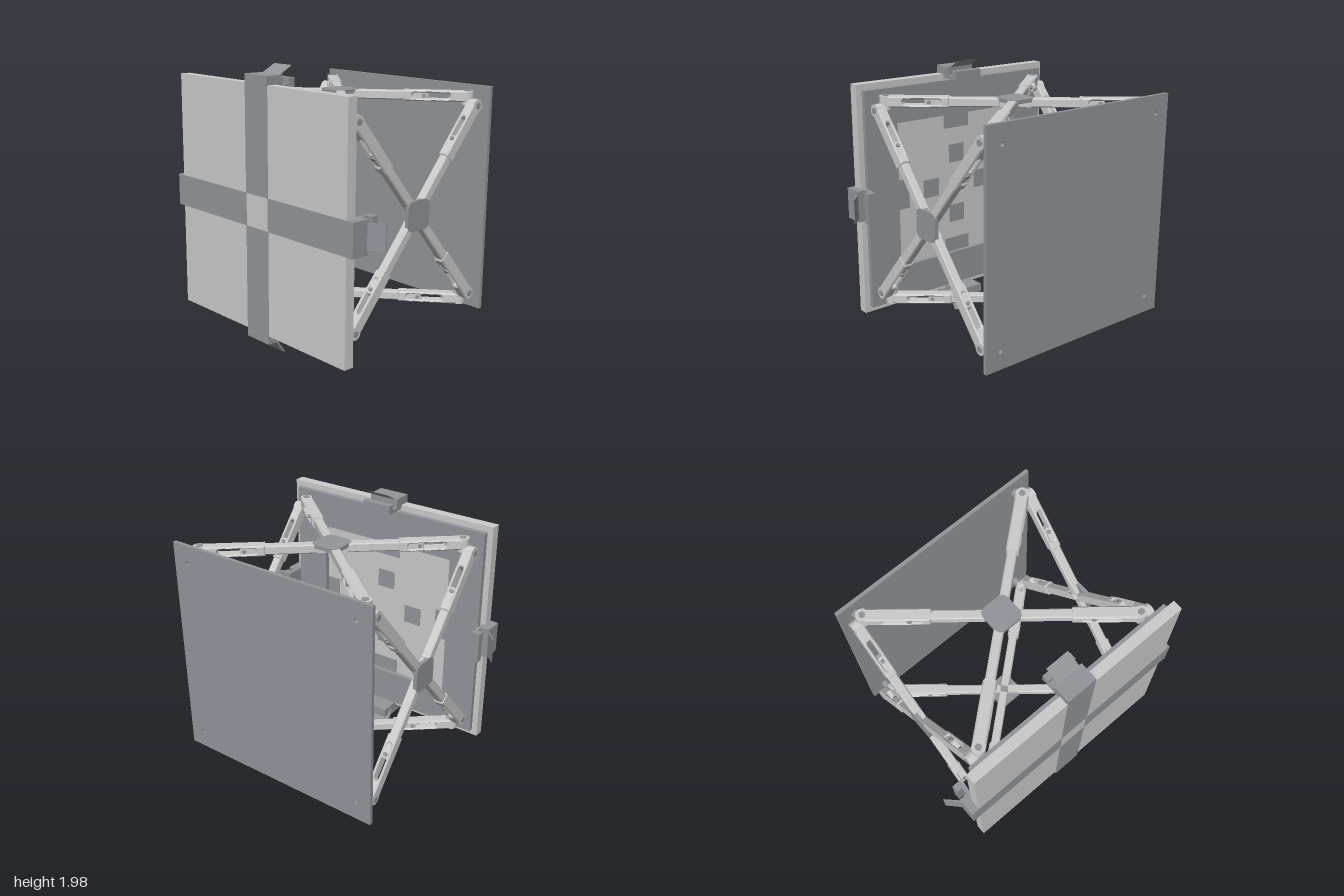
import * as THREE from 'three';

const light = new THREE.MeshStandardMaterial({ color: 0xcccccc, flatShading: true });
const smooth = new THREE.MeshStandardMaterial({ color: 0xcccccc });
const dark = new THREE.MeshStandardMaterial({ color: 0x92969a, flatShading: true });

function add(parent, name, geometry, material, x = 0, y = 0, z = 0) {
  const mesh = new THREE.Mesh(geometry, material);
  mesh.name = name;
  mesh.position.set(x, y, z);
  parent.add(mesh);
  return mesh;
}
// Box given by its lower and upper corners
function block(parent, name, material, a, b) {
  return add(parent, name, new THREE.BoxGeometry(b[0] - a[0], b[1] - a[1], b[2] - a[2]), material,
    (a[0] + b[0]) / 2, (a[1] + b[1]) / 2, (a[2] + b[2]) / 2);
}
function group(parent, name) {
  const g = new THREE.Group();
  g.name = name;
  parent.add(g);
  return g;
}
function polygon(points) {
  return new THREE.Shape(points.map(p => new THREE.Vector2(p[0], p[1])));
}
function rect(x0, y0, x1, y1) {
  return polygon([[x0, y0], [x1, y0], [x1, y1], [x0, y1]]);
}
// Extrude centred on its own depth axis
function extrude(shape, depth, bevel = 0) {
  return new THREE.ExtrudeGeometry(shape, {
    depth: depth - 2 * bevel, bevelEnabled: bevel > 0, bevelSize: bevel, bevelOffset: -bevel,
    bevelThickness: bevel, bevelSegments: 1, curveSegments: 8,
  }).translate(0, 0, -depth / 2 + bevel);
}
function slotPath(x0, x1, r) {
  const path = new THREE.Path();
  path.absarc(x0 + r, 0, r, Math.PI / 2, Math.PI * 1.5, false);
  path.absarc(x1 - r, 0, r, -Math.PI / 2, Math.PI / 2, false);
  path.closePath();
  return path;
}

// Telescopic arm along +x: slotted sleeve at the corner, slimmer rod at the hub
function makeArm(parent, L) {
  const arm = group(parent, 'telescopicArm');
  const sleeve = rect(L - 0.44, -0.038, L, 0.038);
  sleeve.holes.push(slotPath(L - 0.38, L - 0.12, 0.02));
  add(arm, 'slottedSleeve', extrude(sleeve, 0.088, 0.01), light);
  add(arm, 'roundEnd', new THREE.CylinderGeometry(0.044, 0.044, 0.076, 20), smooth, L, 0, 0);
  add(arm, 'innerRod', extrude(rect(0.1, -0.032, L - 0.27, 0.032), 0.066, 0.008), light);
  block(arm, 'hubTab', light, [0.03, -0.03, -0.028], [0.12, 0.006, 0.028]);
  add(arm, 'slidePin', new THREE.CylinderGeometry(0.014, 0.014, 0.09, 12).rotateX(Math.PI / 2), dark, L - 0.3, 0, 0);
  // Pivot screw
  add(arm, 'screwHead', new THREE.CylinderGeometry(0.024, 0.024, 0.012, 6), dark, L, 0.038, 0);
  return arm;
}

// One X-shaped linkage lying in the xz plane with its outside facing +y
function makeLinkage(parent) {
  const link = group(parent, 'crossLinkage');
  const W = 0.68, D = 0.577;
  for (const sx of [-1, 1]) for (const sz of [-1, 1])
    makeArm(link, Math.hypot(W, D)).rotation.y = -Math.atan2(sz * D, sx * W);
  const h = 0.105, c = 0.04;
  const plate = polygon([[-h + c, -h], [h - c, -h], [h - c * 0.3, -h + c * 0.3], [h, -h + c], [h, h - c],
    [h - c * 0.3, h - c * 0.3], [h - c, h], [-h + c, h], [-h + c * 0.3, h - c * 0.3], [-h, h - c],
    [-h, -h + c], [-h + c * 0.3, -h + c * 0.3]]);
  add(link, 'hubPlate', extrude(plate, 0.028).rotateX(-Math.PI / 2), dark, 0, 0.021, 0);
  return link;
}

// Edge clip built at the top edge; blade = [z0, r0, z1, r1]
function makeClip(parent, blade) {
  const clip = group(parent, 'edgeClip');
  const hook = polygon([[0.714, 0.85], [0.714, 0.912], [0.58, 0.912], [0.58, 0.85], [0.53, 0.85], [0.53, 0.89],
    [0.48, 0.89], [0.48, 0.825], [0.635, 0.825], [0.635, 0.85]]);
  add(clip, 'hook', extrude(hook, 0.228).rotateY(-Math.PI / 2), dark);
  const [z0, r0, z1, r1] = blade;
  const n = Math.hypot(z1 - z0, r1 - r0), tz = (r1 - r0) / n * 0.018, tr = (z0 - z1) / n * 0.018;
  const wing = polygon([[z0, r0], [z1, r1], [z1 + tz, r1 - tr * 0.2], [z0 + tz, r0 + tr * 0.2]]);
  add(clip, 'leverBlade', extrude(wing, 0.176).rotateY(-Math.PI / 2), dark);
  return clip;
}

export function createModel() {
  const model = new THREE.Group();
  model.name = 'foldingPanelFrame';
  const body = group(model, 'body');
  body.position.y = 1.014;
  body.rotation.set(-0.015, 0.012, 0);

  // Front panel with dark cross strips and a rear frame
  const front = group(body, 'frontPanel');
  block(front, 'frontPlate', light, [-0.853, -0.853, 0.638], [0.853, 0.853, 0.71]);
  const ring = rect(-0.81, -0.81, 0.81, 0.81);
  ring.holes.push(rect(-0.55, -0.55, 0.55, 0.55));
  add(front, 'rearFrame', extrude(ring, 0.036), dark, 0, 0, 0.621);

  // Strip, clip and rear pads on each of the four sides: top, right, bottom, left
  const blades = [[0.585, 0.905, 0.48, 0.968], [0.59, 0.9, 0.5, 0.99], [0.62, 0.905, 0.545, 1.018], [0.59, 0.9, 0.5, 0.99]];
  blades.forEach((blade, k) => {
    const side = group(front, 'panelSide');
    side.rotation.z = -k * Math.PI / 2;
    block(side, 'crossStrip', dark, [-0.114, 0.114, 0.7], [0.114, 0.88, 0.714]);
    block(side, 'rearPad', dark, [-0.07, 0.17, 0.634], [0.07, 0.31, 0.645]);
    block(side, 'rearEdgePad', dark, [-0.114, 0.44, 0.634], [0.114, 0.56, 0.645]);
    makeClip(side, blade);
  });

  // Back panel with a mounting hole in every corner
  const back = rect(-0.81, -0.81, 0.81, 0.81);
  for (const sx of [-1, 1]) for (const sy of [-1, 1]) {
    const hole = new THREE.Path();
    hole.absarc(sx * 0.69, sy * 0.68, 0.016, 0, Math.PI * 2, true);
    back.holes.push(hole);
  }
  add(body, 'backPanel', extrude(back, 0.027), dark, 0, 0, -0.709);

  // Four linkages joining the panels
  for (let k = 0; k < 4; k++) {
    const turn = group(body, 'linkageSide');
    turn.rotation.z = k * Math.PI / 2;
    makeLinkage(turn).position.set(0, 0.737, -0.037);
  }

  // Corner mounts: a post from each panel and two crossed pivots
  for (const sx of [-1, 1]) for (const sy of [-1, 1]) for (const [z, end] of [[0.54, 0.606], [-0.614, -0.697]]) {
    const mount = group(body, 'cornerMount');
    const len = Math.abs(end - z) + 0.03;
    add(mount, 'post', new THREE.CylinderGeometry(0.034, 0.034, len, 20).rotateX(Math.PI / 2), dark,
      sx * 0.685, sy * 0.685, end - Math.sign(z) * len / 2);
    add(mount, 'knuckle', new THREE.SphereGeometry(0.042, 16, 12), smooth, sx * 0.685, sy * 0.685, z);
    add(mount, 'pivotUpright', new THREE.CylinderGeometry(0.03, 0.03, 0.11, 16), smooth, sx * 0.68, sy * 0.705, z);
    add(mount, 'pivotSideways', new THREE.CylinderGeometry(0.03, 0.03, 0.11, 16).rotateZ(Math.PI / 2), smooth,
      sx * 0.705, sy * 0.68, z);
  }
  return model;
}
